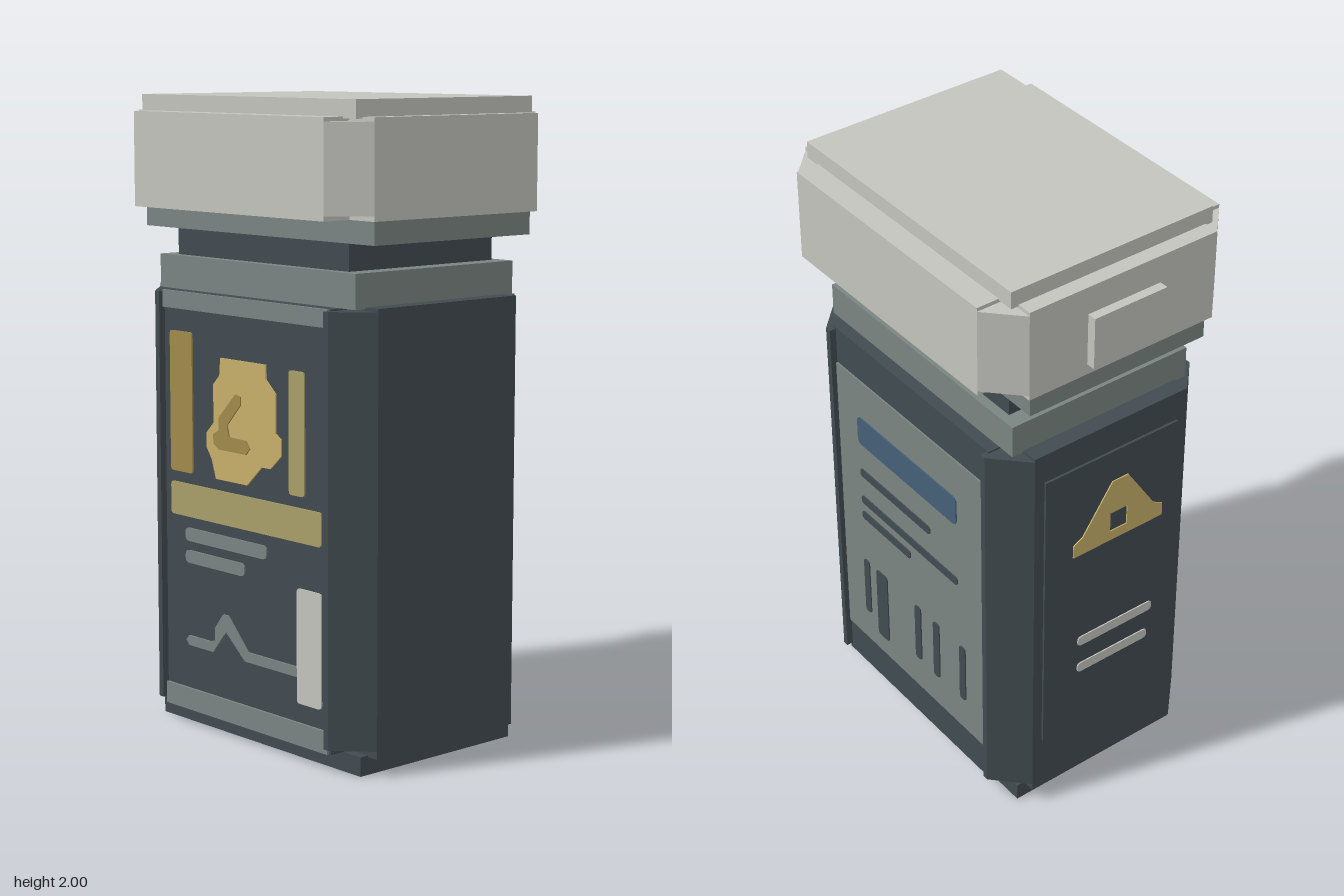
import * as THREE from 'three';

const mat = (name, color) => {
  const m = new THREE.MeshStandardMaterial({ color });
  m.name = name;
  return m;
};

export function createModel() {
  const dark = mat('dark slate', 0x414b50);
  const grey = mat('mid grey', 0x7a8582);
  const pale = mat('pale grey', 0xc3c4bd);
  const gold = mat('gold', 0xc8b06a);
  const bronze = mat('bronze', 0xa18a4b);
  const olive = mat('olive', 0xa99f69);
  const blue = mat('blue', 0x456078);

  const model = new THREE.Group();
  model.name = 'canister';

  const add = (parent, name, geometry, material) => {
    const mesh = new THREE.Mesh(geometry, material);
    mesh.name = name;
    parent.add(mesh);
    return mesh;
  };
  const group = (name) => {
    const g = new THREE.Group();
    g.name = name;
    model.add(g);
    return g;
  };
  // Box given by its limits on each axis
  const block = (parent, name, m, x0, x1, y0, y1, z0, z1) =>
    add(parent, name, new THREE.BoxGeometry(x1 - x0, y1 - y0, z1 - z0)
      .translate((x0 + x1) / 2, (y0 + y1) / 2, (z0 + z1) / 2), m);
  // Four chamfered corner posts; profile points are [x, z] measured from the centre line
  const CX = 0.0125;
  const corners = (parent, name, m, profile, y0, y1) => {
    for (const sx of [-1, 1]) for (const sz of [-1, 1]) {
      const shape = new THREE.Shape(profile.map(([x, z]) => new THREE.Vector2(CX + sx * x, -sz * z)));
      const geo = new THREE.ExtrudeGeometry(shape, { depth: y1 - y0, bevelEnabled: false });
      add(parent, name, geo.rotateX(-Math.PI / 2).translate(0, y0, 0), m);
    }
  };

  // Body: crossed boxes with corner posts
  const body = group('body');
  block(body, 'base', dark, -0.46, 0.485, 0, 0.06, -0.315, 0.315);
  block(body, 'sideCore', dark, -0.5, 0.525, 0.055, 1.4, -0.285, 0.285);
  block(body, 'frontBackCore', dark, -0.385, 0.41, 0.06, 1.395, -0.365, 0.365);
  corners(body, 'cornerPost', dark,
    [[0.3875, 0.28], [0.5125, 0.28], [0.5125, 0.285], [0.4075, 0.387], [0.3875, 0.387]], 0.08, 1.39);
  block(body, 'lowerTrim', grey, -0.375, 0.4, 0.06, 0.13, 0.36, 0.373);
  block(body, 'upperTrim', grey, -0.375, 0.4, 1.34, 1.395, 0.36, 0.373);
  block(body, 'sidePanel', dark, -0.508, -0.495, 0.26, 1.3, -0.25, 0.25);

  // Neck
  const neck = group('neck');
  block(neck, 'shoulder', grey, -0.445, 0.47, 1.395, 1.5, -0.325, 0.325);
  block(neck, 'neckCore', dark, -0.39, 0.41, 1.49, 1.6, -0.295, 0.295);
  block(neck, 'collar', grey, -0.52, 0.545, 1.585, 1.66, -0.32, 0.32);

  // Lid
  const lid = group('lid');
  block(lid, 'lidSides', pale, -0.535, 0.56, 1.655, 1.95, -0.335, 0.335);
  block(lid, 'lidFrontBack', pale, -0.43, 0.455, 1.655, 1.95, -0.435, 0.435);
  corners(lid, 'lidCorner', pale,
    [[0.44, 0.33], [0.5475, 0.33], [0.5475, 0.335], [0.4425, 0.435], [0.44, 0.435]], 1.67, 1.938);
  block(lid, 'topPlate', pale, -0.485, 0.51, 1.945, 2, -0.36, 0.36);
  block(lid, 'latch', pale, -0.565, -0.53, 1.69, 1.86, -0.13, 0.13);

  // Painted details: thin plates drawn in x and y on a face group
  const poly = (pts) => new THREE.Shape(pts.map(([x, y]) => new THREE.Vector2(x, y)));
  const plate = (parent, name, m, shape, depth = 0.005) =>
    add(parent, name, new THREE.ExtrudeGeometry(shape, { depth, bevelEnabled: false, curveSegments: 3 }), m);
  const bar = (parent, name, m, x0, x1, y0, y1, r = 0.012, depth = 0.005) => {
    const s = new THREE.Shape();
    s.moveTo(x0 + r, y0);
    s.lineTo(x1 - r, y0).quadraticCurveTo(x1, y0, x1, y0 + r);
    s.lineTo(x1, y1 - r).quadraticCurveTo(x1, y1, x1 - r, y1);
    s.lineTo(x0 + r, y1).quadraticCurveTo(x0, y1, x0, y1 - r);
    s.lineTo(x0, y0 + r).quadraticCurveTo(x0, y0, x0 + r, y0);
    return plate(parent, name, m, s, depth);
  };

  // Front artwork
  const front = group('frontArtwork');
  front.position.z = 0.365;
  bar(front, 'leftBar', bronze, -0.345, -0.235, 0.825, 1.27);
  bar(front, 'rightBar', olive, 0.225, 0.295, 0.825, 1.2);
  bar(front, 'wideBand', olive, -0.345, 0.37, 0.685, 0.79);
  bar(front, 'upperLine', grey, -0.275, 0.12, 0.607, 0.65, 0.018);
  bar(front, 'lowerLine', grey, -0.275, 0.015, 0.537, 0.578, 0.018);
  bar(front, 'whitePatch', pale, 0.26, 0.37, 0.19, 0.545);
  plate(front, 'emblem', gold, poly([
    [-0.12, 0.825], [0.03, 0.825], [0.1, 0.89], [0.14, 0.89], [0.19, 0.935], [0.19, 0.985], [0.165, 1.0],
    [0.165, 1.12], [0.12, 1.16], [0.12, 1.205], [-0.095, 1.205], [-0.1, 1.15], [-0.13, 1.12],
    [-0.13, 1.0], [-0.165, 0.965], [-0.165, 0.92], [-0.14, 0.885]]));
  plate(front, 'emblemMark', bronze, poly([
    [-0.1, 0.92], [0.03, 0.92], [0.048, 0.94], [0.03, 0.963], [-0.05, 0.965], [-0.06, 1.0],
    [0.005, 1.07], [0.005, 1.095], [-0.02, 1.1], [-0.1, 1.02], [-0.1, 0.98], [-0.128, 0.965], [-0.125, 0.935]]), 0.009);
  plate(front, 'zigzagLine', grey, poly([
    [-0.26, 0.27], [-0.14, 0.27], [-0.095, 0.325], [-0.075, 0.345], [0.015, 0.27], [0.26, 0.27], [0.26, 0.302],
    [0.03, 0.302], [-0.065, 0.4], [-0.09, 0.4], [-0.13, 0.35], [-0.13, 0.31], [-0.155, 0.302], [-0.26, 0.302], [-0.275, 0.286]]));

  // Back label, seen from behind
  const back = group('backLabel');
  back.position.z = -0.365;
  back.rotation.y = Math.PI;
  bar(back, 'labelPlate', grey, -0.4, 0.375, 0.19, 1.265, 0.004);
  bar(back, 'blueBand', blue, -0.29, 0.23, 1.02, 1.125, 0.02, 0.009);
  for (const [x1, y] of [[0.09, 0.905], [0.23, 0.795], [-0.02, 0.732]])
    bar(back, 'labelLine', dark, -0.285, x1, y - 0.015, y + 0.015, 0.012, 0.009);
  for (const [x, w, y0] of [[-0.275, 0.03, 0.317], [-0.19, 0.06, 0.262], [0.01, 0.032, 0.317], [0.11, 0.032, 0.312], [0.25, 0.03, 0.317]])
    bar(back, 'labelStripe', dark, x - w / 2, x + w / 2, y0, 0.54, 0.012, 0.009);

  // Warning sign on the -x side
  const side = group('sideArtwork');
  side.position.x = -0.508;
  side.rotation.y = -Math.PI / 2;
  const sign = poly([[-0.145, 0.965], [0.2, 0.965], [0.2, 1.01], [0.165, 1.03], [0.06, 1.19], [0, 1.19], [-0.11, 1.03], [-0.145, 1.01]]);
  sign.holes.push(poly([[-0.005, 1.0], [-0.005, 1.07], [0.06, 1.07], [0.06, 1.0]]));
  plate(side, 'warningSign', gold, sign, 0.004);
  bar(side, 'sideUpperLine', pale, -0.12, 0.175, 0.592, 0.628, 0.015, 0.004);
  bar(side, 'sideLowerLine', pale, -0.12, 0.16, 0.482, 0.518, 0.015, 0.004);

  return model;
}
